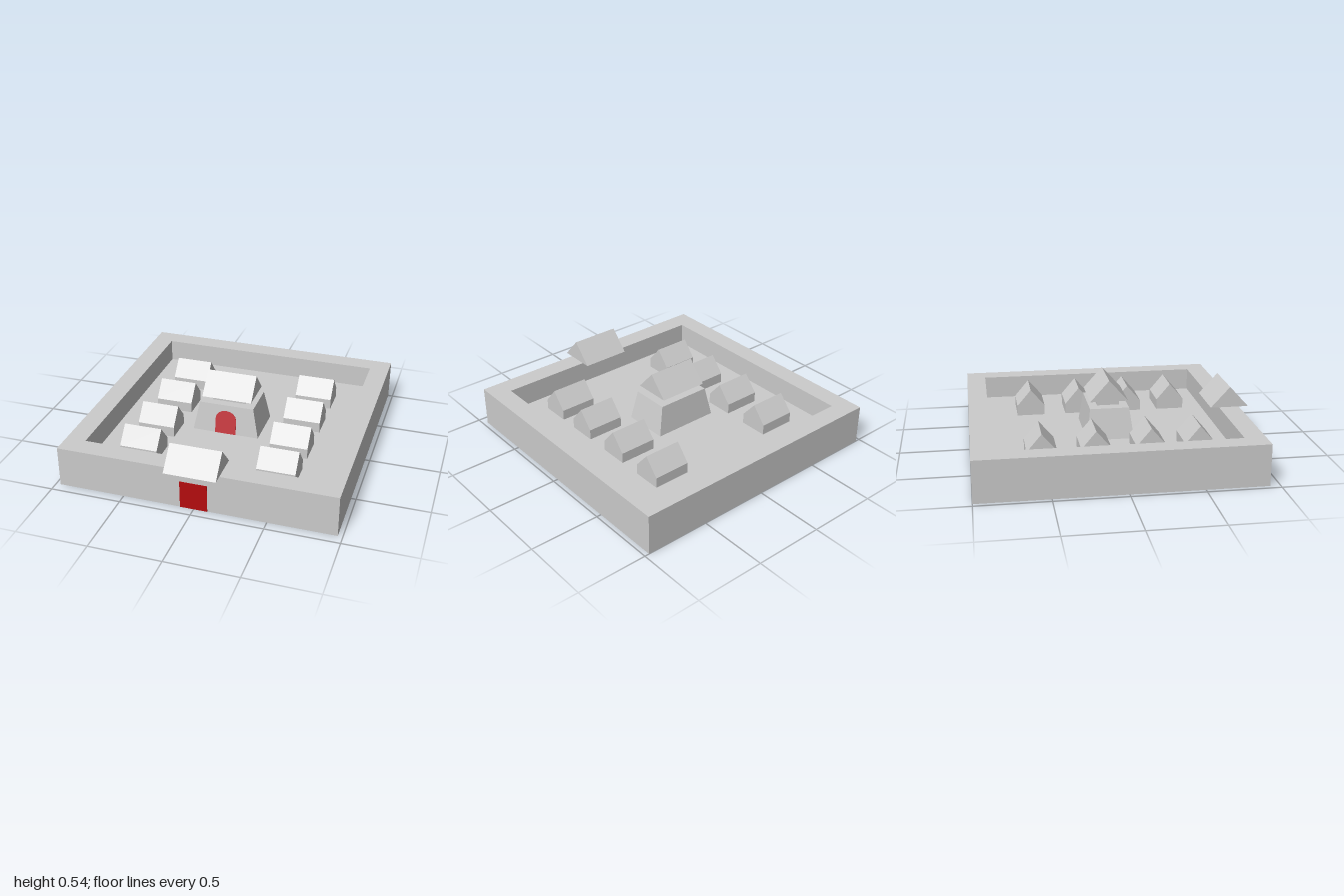
import * as THREE from 'three';

const FLOOR = 0.125;
const WALL = 0.29;

const paint = (color) => new THREE.MeshStandardMaterial({ color, flatShading: true });
const grey = paint(0xcccccc);

function add(parent, name, geometry, material = grey) {
  const mesh = new THREE.Mesh(geometry, material);
  mesh.name = name;
  parent.add(mesh);
  return mesh;
}

// Box given by its limits on each axis
function box(x0, x1, y0, y1, z0, z1) {
  return new THREE.BoxGeometry(x1 - x0, y1 - y0, z1 - z0)
    .translate((x0 + x1) / 2, (y0 + y1) / 2, (z0 + z1) / 2);
}

// Profile of [z, y] points swept along x
function sweepX(points, x0, x1) {
  const shape = new THREE.Shape(points.map(([z, y]) => new THREE.Vector2(-z, y)));
  return new THREE.ExtrudeGeometry(shape, { depth: x1 - x0, bevelEnabled: false })
    .rotateY(Math.PI / 2).translate(x0, 0, 0);
}

const gableRoof = (x0, x1, z0, z1, eave, ridge) =>
  sweepX([[z1, eave], [z0, eave], [(z0 + z1) / 2, ridge]], x0, x1);

// Closed rectangular outline traced on the ground plane
function rectangle(Type, x0, x1, z0, z1) {
  return new Type([[x0, -z1], [x1, -z1], [x1, -z0], [x0, -z0]].map((p) => new THREE.Vector2(...p)));
}

export function createModel() {
  const model = new THREE.Group();
  model.name = 'walledCourtyard';

  // Outer wall and sunken courtyard floor
  const outline = rectangle(THREE.Shape, -0.967, 0.967, -1, 0.93);
  outline.holes.push(rectangle(THREE.Path, -0.825, 0.825, -0.86, 0.785));
  add(model, 'outerWall', new THREE.ExtrudeGeometry(outline, { depth: WALL, bevelEnabled: false })
    .rotateX(-Math.PI / 2));
  add(model, 'courtyardFloor', box(-0.825, 0.825, 0, FLOOR, -0.86, 0.785));

  // Gate in the front wall with its roof
  add(model, 'gateDoor', box(-0.095, 0.095, 0, 0.2, 0.9, 0.933), paint(0xb40c0e));
  add(model, 'gateRoof', gableRoof(-0.18, 0.18, 0.725, 1, WALL, 0.44));

  // Two rows of gabled houses
  for (const [side, x0] of [['right', -0.64], ['left', 0.34]]) {
    [-0.533, -0.17, 0.202, 0.535].forEach((z, i) => {
      const profile = [[z + 0.102, FLOOR], [z - 0.102, FLOOR], [z - 0.102, 0.2], [z, 0.32], [z + 0.102, 0.2]];
      add(model, `${side}House${i + 1}`, sweepX(profile, x0, x0 + 0.27));
    });
  }

  // Central hall: tapered base, small upper storey and roof
  const hall = new THREE.Group();
  hall.name = 'hall';
  hall.position.set(-0.034, 0, -0.02);
  model.add(hall);
  const baseTop = 0.34;
  const base = box(-0.243, 0.243, FLOOR, baseTop, -0.167, 0.167);
  const pos = base.attributes.position;
  for (let i = 0; i < pos.count; i++) {
    if (pos.getY(i) > 0.3) {
      pos.setX(i, pos.getX(i) * 0.82);
      pos.setZ(i, pos.getZ(i) * 0.83);
    }
  }
  base.computeVertexNormals();
  add(hall, 'hallBase', base);
  add(hall, 'hallUpperStorey', box(-0.12, 0.12, baseTop, 0.385, -0.078, 0.078));
  add(hall, 'hallRoof', gableRoof(-0.182, 0.182, -0.135, 0.135, 0.385, 0.535));

  // Arched doorway lying on the sloping front of the base
  const arch = new THREE.Shape();
  arch.moveTo(-0.077, 0);
  arch.lineTo(0.077, 0);
  arch.lineTo(0.077, 0.11);
  arch.absellipse(0, 0.11, 0.077, 0.065, 0, Math.PI, false);
  const door = add(hall, 'hallDoor',
    new THREE.ExtrudeGeometry(arch, { depth: 0.006, bevelEnabled: false, curveSegments: 4 }), paint(0xc83a40));
  door.position.set(0, FLOOR, 0.165);
  door.rotation.x = -Math.atan2(0.167 * 0.17, baseTop - FLOOR);

  return model;
}
